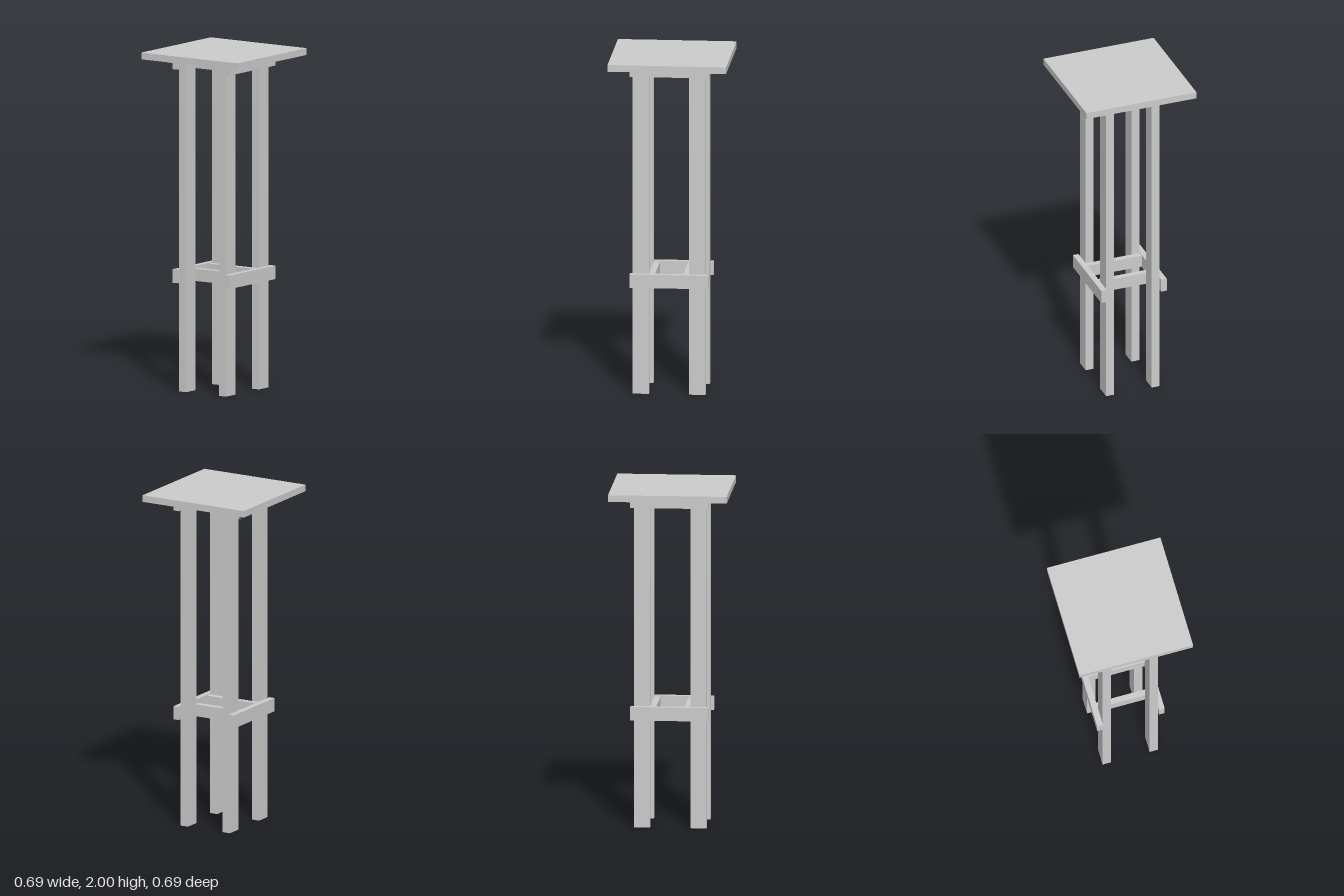
import * as THREE from 'three';

const material = new THREE.MeshStandardMaterial({ color: 0xcccccc, flatShading: true });

// Box given by its lower and upper limits on each axis
function box(name, [x0, x1], [y0, y1], [z0, z1]) {
  const mesh = new THREE.Mesh(new THREE.BoxGeometry(x1 - x0, y1 - y0, z1 - z0), material);
  mesh.name = name;
  mesh.position.set((x0 + x1) / 2, (y0 + y1) / 2, (z0 + z1) / 2);
  return mesh;
}

// Small screw pointing forward, with its head at the back
function screw(x, y, zHead, zTip) {
  const group = new THREE.Group();
  group.name = 'screw';
  const length = zTip - zHead;
  const shank = new THREE.Mesh(new THREE.CylinderGeometry(0.002, 0.002, length, 8), material);
  shank.name = 'screwShank';
  shank.rotation.x = Math.PI / 2;
  shank.position.set(x, y, (zHead + zTip) / 2);
  const head = new THREE.Mesh(new THREE.CylinderGeometry(0.003, 0.005, 0.003, 8), material);
  head.name = 'screwHead';
  head.rotation.x = Math.PI / 2;
  head.position.set(x, y, zHead + 0.0015);
  group.add(shank, head);
  return group;
}

export function createModel() {
  const model = new THREE.Group();
  model.name = 'tallStool';

  // Square top
  model.add(box('seat', [-0.347, 0.347], [1.96, 2], [-0.344, 0.344]));

  // Four flat legs
  for (const x of [[-0.215, -0.12], [0.115, 0.21]])
    for (const z of [[0.118, 0.168], [-0.167, -0.117]])
      model.add(box('leg', x, [0, 1.96], z));

  // Upper and lower frames
  for (const [y0, y1, inset] of [[1.9, 1.96, 0], [0.64, 0.72, 0.004]]) {
    // Long rails across the outside of the legs
    model.add(box('frontRail', [-0.231, 0.228], [y0, y1], [0.17, 0.205]));
    model.add(box('backRail', [-0.231, 0.228], [y0, y1], [-0.204, -0.169]));
    // Side rails against the inner faces of the legs
    for (const x of [[-0.12, -0.085], [0.08, 0.115]])
      model.add(box('sideRail', x, [y0 + inset, y1 - inset], [-0.169, 0.17]));
  }

  // Screws left standing out of the upper back rail
  model.add(screw(-0.2, 1.932, -0.25, -0.195));
  model.add(screw(0.17, 1.895, -0.213, -0.165));

  return model;
}
